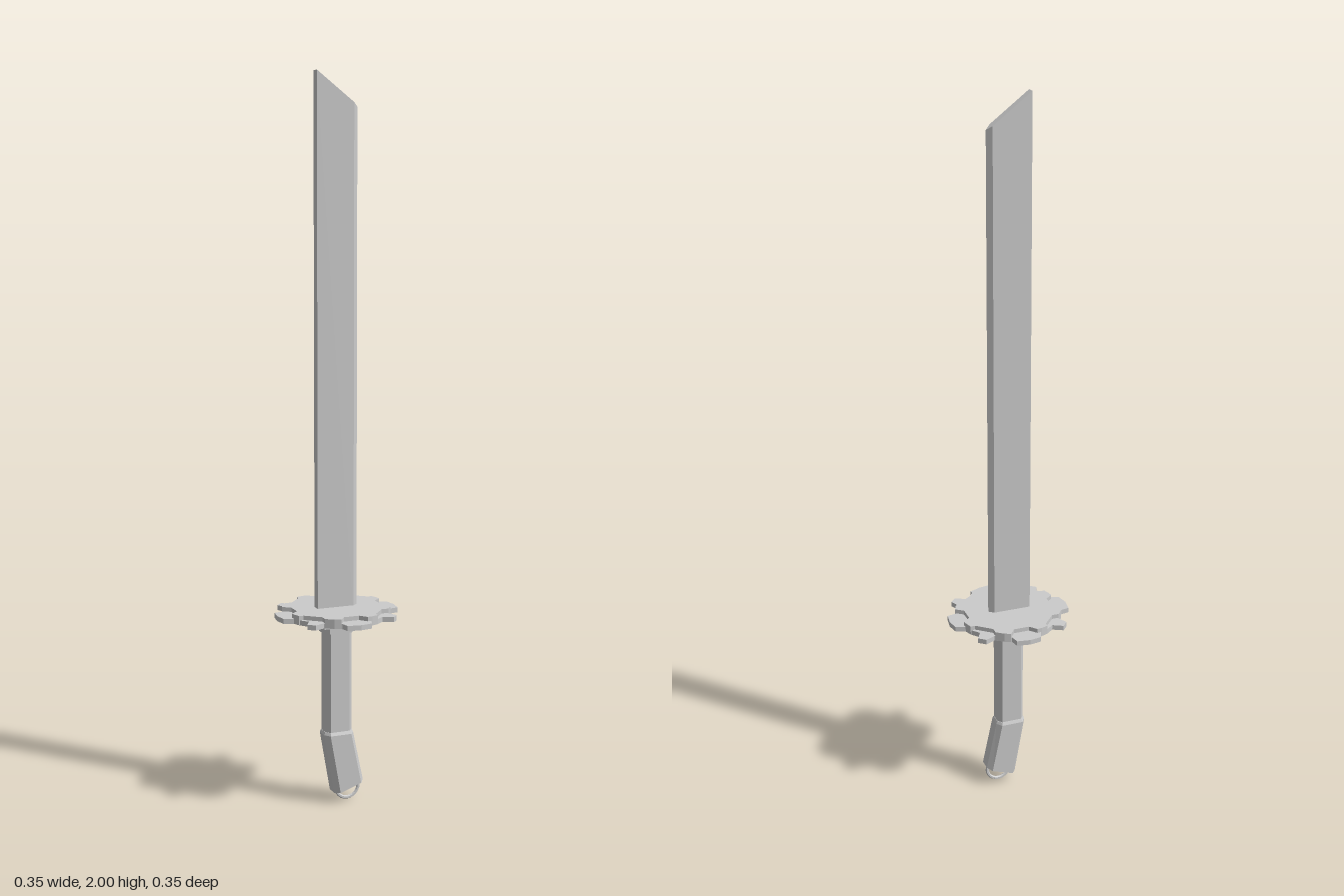
import * as THREE from 'three';

const material = new THREE.MeshStandardMaterial({ color: 0xcccccc, flatShading: true });

// Upright extrusion of an [x, -z] outline between two heights
function plate(points, y0, y1) {
  const shape = new THREE.Shape(points.map(([x, y]) => new THREE.Vector2(x, y)));
  return new THREE.ExtrudeGeometry(shape, { depth: y1 - y0, bevelEnabled: false })
    .rotateX(-Math.PI / 2)
    .translate(0, y0, 0);
}

// Octagonal bar: half width w, half depth d, chamfers along the long edges
function bar(w, d, y0, y1) {
  const a = w * 0.72, b = d * 0.5;
  return plate([[w, -b], [w, b], [a, d], [-a, d], [-w, b], [-w, -b], [-a, -d], [a, -d]], y0, y1);
}

// Repeat one quarter of an outline four times around the axis
function fourfold(quarter) {
  const out = [];
  for (let i = 0; i < 4; i++) {
    const c = Math.round(Math.cos(i * Math.PI / 2)), s = Math.round(Math.sin(i * Math.PI / 2));
    for (const [x, y] of quarter) out.push([x * c - y * s, x * s + y * c]);
  }
  return out;
}

// Move every vertex by a rule
function reshape(geometry, rule) {
  const p = geometry.attributes.position, v = new THREE.Vector3();
  for (let i = 0; i < p.count; i++) {
    rule(v.fromBufferAttribute(p, i));
    p.setXYZ(i, v.x, v.y, v.z);
  }
  geometry.computeVertexNormals();
  return geometry;
}

export function createModel() {
  const model = new THREE.Group();
  const add = (name, geometry) => {
    const mesh = new THREE.Mesh(geometry, material);
    mesh.name = name;
    model.add(mesh);
    return mesh;
  };

  // Single-edged blade with a slanted tip
  const section = [[-0.06, -0.012], [0.046, -0.012], [0.06, 0], [0.046, 0.012], [-0.06, 0.012], [-0.06, 0]];
  add('blade', reshape(plate(section, 0.54, 2), v => {
    if (v.y > 1) v.y = 2 - 0.76 * (v.x + 0.06);
  }));

  // Guard: scalloped upper disc over a lower plate with lobes and forked tabs
  add('guardDisc', plate(fourfold([
    [0.122, -0.029], [0.122, 0.015], [0.143, 0.032], [0.141, 0.047], [0.135, 0.065],
    [0.122, 0.065], [0.082, 0.1], [0.082, 0.12], [0.062, 0.136], [0.045, 0.143],
  ]), 0.535, 0.56));
  add('guardLobes', plate(fourfold([
    [0.143, -0.042], [0.168, -0.037], [0.174, 0], [0.168, 0.033], [0.142, 0.043], [0.133, 0.065],
    [0.116, 0.087], [0.131, 0.115], [0.113, 0.131], [0.085, 0.118], [0.062, 0.133],
  ]), 0.534, 0.548));

  // Stepped collar and grip
  add('collarPlate', bar(0.087, 0.067, 0.515, 0.536));
  add('collar', bar(0.045, 0.034, 0.49, 0.517));
  add('grip', bar(0.039, 0.028, 0.19, 0.495));

  // Slanted pommel with a tilted end, topped by a narrow shoulder
  add('pommel', reshape(bar(0.043, 0.034, 0.043, 0.2), v => {
    if (v.y < 0.1) {
      v.y += 0.34 * v.x;
      v.x += 0.03;
    }
  }));
  add('pommelShoulder', reshape(bar(0.043, 0.034, 0.2, 0.208), v => {
    if (v.y > 0.204) { v.x *= 0.93; v.z *= 0.9; }
  }));

  // Small ring hanging from the pommel
  add('ring', new THREE.TorusGeometry(0.034, 0.005, 6, 24)).position.set(0.032, 0.039, 0);

  return model;
}
